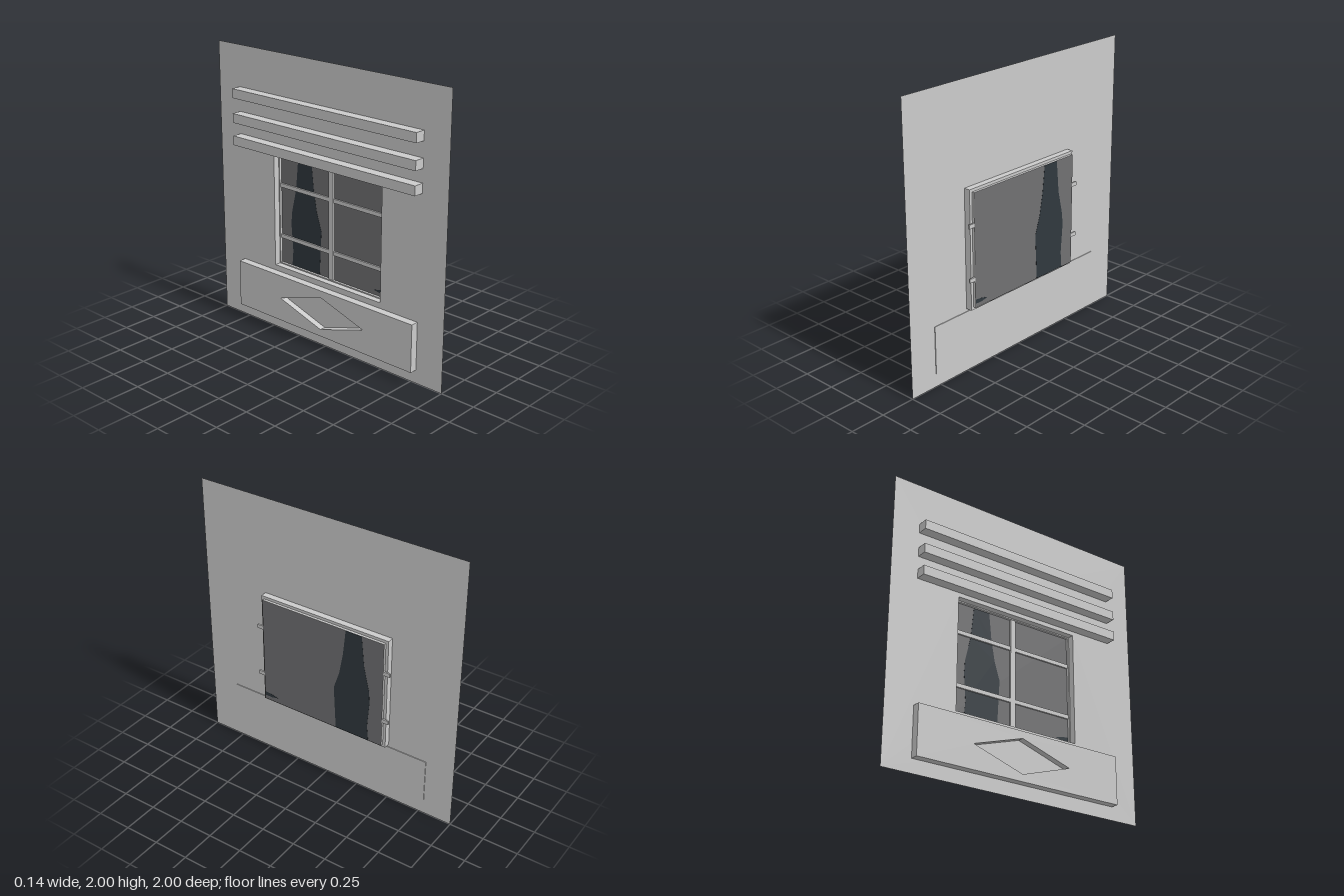
import * as THREE from 'three';

const plaster = new THREE.MeshStandardMaterial({ color: 0xcbcbcb, side: THREE.DoubleSide });
plaster.name = 'light grey plaster';
const glass = new THREE.MeshStandardMaterial({ color: 0x707072, side: THREE.DoubleSide });
glass.name = 'grey glass';
const shade = new THREE.MeshStandardMaterial({ color: 0x30383e });
shade.name = 'dark blue grey';

// Shape in the z-y plane from a list of [z, y] points
function outline(points) {
  return new THREE.Shape(points.map(([z, y]) => new THREE.Vector2(z, y)));
}

function rect(halfZ, y0, y1) {
  return [[-halfZ, y0], [halfZ, y0], [halfZ, y1], [-halfZ, y1]];
}

// Plate in the z-y plane spanning x0..x1, with an optional hole
function plate(name, material, points, x0, x1, hole) {
  const shape = outline(points);
  if (hole) shape.holes.push(outline(hole));
  const depth = x1 - x0;
  const geometry = depth > 0
    ? new THREE.ExtrudeGeometry(shape, { depth, bevelEnabled: false })
    : new THREE.ShapeGeometry(shape);
  geometry.rotateY(-Math.PI / 2).translate(x1, 0, 0);
  const mesh = new THREE.Mesh(geometry, material);
  mesh.name = name;
  return mesh;
}

export function createModel() {
  const model = new THREE.Group();
  model.name = 'windowWall';
  const opening = rect(0.48, 0.475, 1.275);

  // Wall sheet with the window opening
  model.add(plate('wall', plaster, rect(1, 0, 2), 0, 0, opening));

  // Three horizontal slats above the window, on the -x side
  for (const y of [1.305, 1.465, 1.64]) {
    model.add(plate('slat', plaster, rect(0.8, y, y + 0.066), -0.074, 0));
  }

  // Lower panel with a sunken diamond
  const diamond = [[-0.38, 0.265], [0, 0.145], [0.38, 0.265], [0, 0.385]];
  model.add(plate('lowerPanel', plaster, rect(0.79, 0.095, 0.435), -0.055, -0.01, diamond));
  model.add(plate('lowerPanelBack', plaster, rect(0.79, 0.095, 0.435), -0.01, 0.005));

  // Window surround and thin sash
  const windowGroup = new THREE.Group();
  windowGroup.name = 'window';
  windowGroup.add(plate('frame', plaster, rect(0.5, 0.455, 1.295), 0, 0.045, opening));
  windowGroup.add(plate('sash', plaster, opening, 0.045, 0.063, rect(0.472, 0.483, 1.267)));

  // Glazing bars
  windowGroup.add(plate('verticalBar', plaster, rect(0.02, 0.475, 1.275), 0.05, 0.0635));
  for (const y of [0.68, 1.055]) {
    windowGroup.add(plate('crossBar', plaster, rect(0.527, y - 0.014, y + 0.014), 0.053, 0.0645));
  }

  // Glass with a dark reflection and a small sliver at the corner
  windowGroup.add(plate('pane', glass, opening, 0.0655, 0.0655));
  const reflection = [
    [-0.19, 1.275], [-0.17, 1.085], [-0.142, 0.93], [-0.1, 0.8], [-0.117, 0.476],
    [-0.377, 0.476], [-0.367, 0.59], [-0.382, 0.78], [-0.377, 0.87], [-0.335, 1.05], [-0.313, 1.275],
  ];
  windowGroup.add(plate('reflection', shade, reflection, 0.0645, 0.0665));
  const sliver = [[0.479, 0.535], [0.43, 0.53], [0.37, 0.515], [0.42, 0.505], [0.479, 0.505]];
  windowGroup.add(plate('cornerSliver', shade, sliver, 0.0645, 0.0665));
  model.add(windowGroup);

  return model;
}
